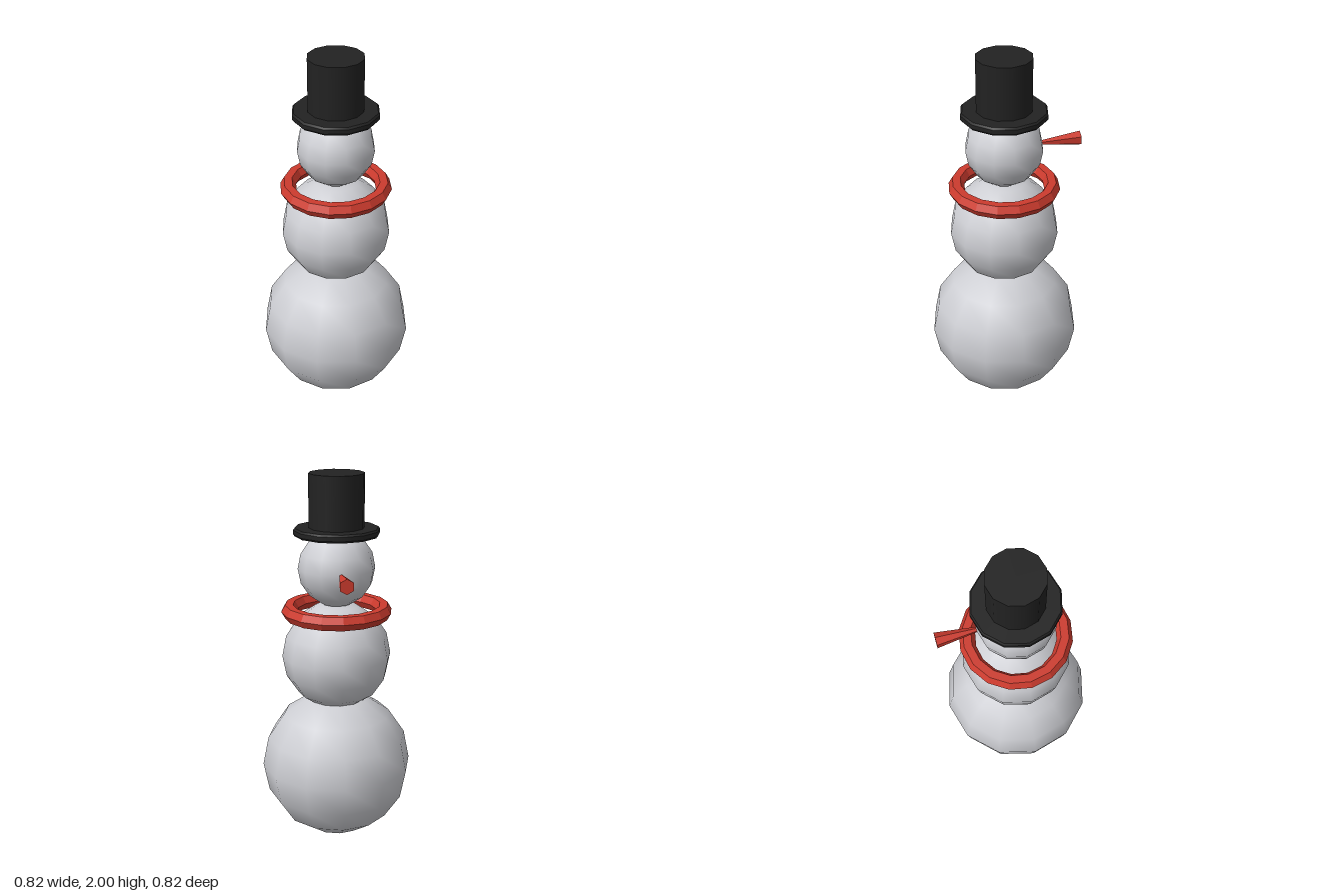
import * as THREE from 'three';

export function createModel() {
  const model = new THREE.Group();
  model.name = 'snowman';

  const material = (name, color) => {
    const m = new THREE.MeshStandardMaterial({ color });
    m.name = name;
    return m;
  };
  const snow = material('snow', 0xcdced3);
  const red = material('red', 0xcc3b2e);
  const black = material('black', 0x222222);
  red.flatShading = true;

  const add = (name, geometry, mat, y, z = 0, parent = model) => {
    const mesh = new THREE.Mesh(geometry, mat);
    mesh.name = name;
    mesh.position.set(0, y, z);
    parent.add(mesh);
    return mesh;
  };

  // Three stacked snowballs
  const balls = [
    ['lowerBody', 0.408, 0.408],
    ['upperBody', 0.293, 1.03],
    ['head', 0.205, 1.505],
  ];
  for (const [name, r, y] of balls) add(name, new THREE.SphereGeometry(r, 12, 8), snow, y);

  // Scarf: ring with a hexagonal section
  add('scarf', new THREE.TorusGeometry(0.253, 0.042, 6, 16).rotateX(Math.PI / 2), red, 1.275);

  // Carrot nose, pointed end buried in the head, wide end outwards
  add('nose', new THREE.ConeGeometry(0.04, 0.31, 6).rotateX(Math.PI / 2), red, 1.503, -0.253);

  // Top hat: crown and a brim with chamfered rims
  const hat = new THREE.Group();
  hat.name = 'hat';
  model.add(hat);
  add('crown', new THREE.CylinderGeometry(0.146, 0.146, 0.3, 12), black, 1.85, 0, hat);
  add('brim', new THREE.CylinderGeometry(0.227, 0.227, 0.022, 12, 1, true), black, 1.699, 0, hat);
  add('brimTop', new THREE.CylinderGeometry(0.219, 0.227, 0.01, 12), black, 1.715, 0, hat);
  add('brimBottom', new THREE.CylinderGeometry(0.227, 0.219, 0.01, 12), black, 1.683, 0, hat);

  return model;
}
